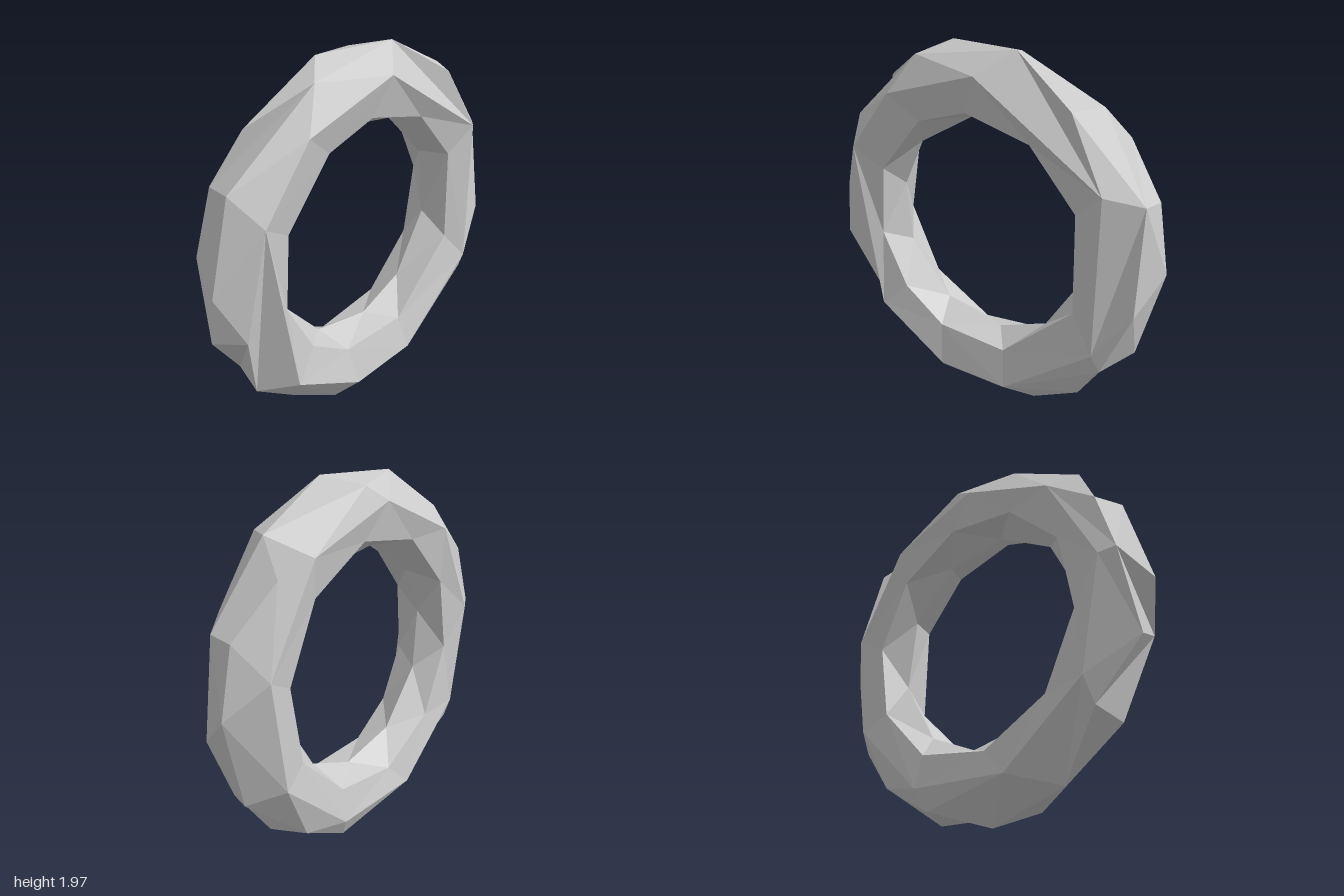
import * as THREE from 'three';

const MAJOR = 0.8, MINOR = 0.2, RAD = Math.PI / 180;

// A loop point is [angle around the ring, angle around the tube] in degrees;
// tube angle: 0 outside, 90 front, 180 hole side, 270 back
const level = (tube, angles) => angles.map((around) => [around, tube]);
const evenly = (count, start) => Array.from({ length: count }, (_, k) => start + (k * 360) / count);

// Outer rim, rear half: zigzags between the widest line and the rear bevel
const rimRear = [[0.5, -14], [21, -17], [40, -48], [50, 0], [84, -48], [104, -11], [133, -14], [150, -45],
  [171, -50], [196, -15], [218, -45], [241, -8], [268, 0], [287, -45], [308, -48], [332, -11]];

// Outer rim, front half
const rimFront = [[22, 22], [54, 46], [78.5, 14], [113, 30], [150, 12], [178, 14], [192.5, 52],
  [219, 8], [254, 24], [290, 10], [309, 17], [326, 46], [350, 44]];

const frontRidge = level(73, [29, 87, 126, 155.5, 223, 257, 286, 331]);
const holeFront = level(135, [25, 59.5, 93.5, 121, 158, 193, 223, 250, 287.6, 338]);
const holeWaist = level(185, [27, 64, 101, 139, 168.5, 202, 241, 277, 308, 348]);
const holeRear = level(233, evenly(10, 8));
const backRidge = level(284, evenly(9, 12));

function tubePoint([around, tube]) {
  const r = MAJOR + MINOR * Math.cos(tube * RAD);
  return [r * Math.cos(around * RAD), 1 + r * Math.sin(around * RAD), MINOR * Math.sin(tube * RAD)];
}

// Zip two closed loops of different counts into a band of triangles
function stitch(a, b, out) {
  const angle = (loop, k) => loop[k % loop.length][0] + 360 * Math.floor(k / loop.length);
  const point = (loop, k) => tubePoint(loop[k % loop.length]);
  let i = 0, j = 0;
  while (i < a.length || j < b.length) {
    const stepA = j >= b.length || (i < a.length && angle(a, i + 1) <= angle(b, j + 1));
    if (stepA) {
      out.push(...point(a, i), ...point(a, i + 1), ...point(b, j));
      i++;
    } else {
      out.push(...point(a, i), ...point(b, j + 1), ...point(b, j));
      j++;
    }
  }
}

export function createModel() {
  const loops = [rimRear, rimFront, frontRidge, holeFront, holeWaist, holeRear, backRidge];
  const positions = [];
  loops.forEach((loop, k) => stitch(loop, loops[(k + 1) % loops.length], positions));

  const geometry = new THREE.BufferGeometry();
  geometry.setAttribute('position', new THREE.Float32BufferAttribute(positions, 3));
  geometry.computeVertexNormals();

  // Irregularly faceted ring
  const ring = new THREE.Mesh(geometry, new THREE.MeshStandardMaterial({ color: 0xcccccc, flatShading: true }));
  ring.name = 'facetedRing';

  const model = new THREE.Group();
  model.name = 'ring';
  model.add(ring);
  return model;
}
